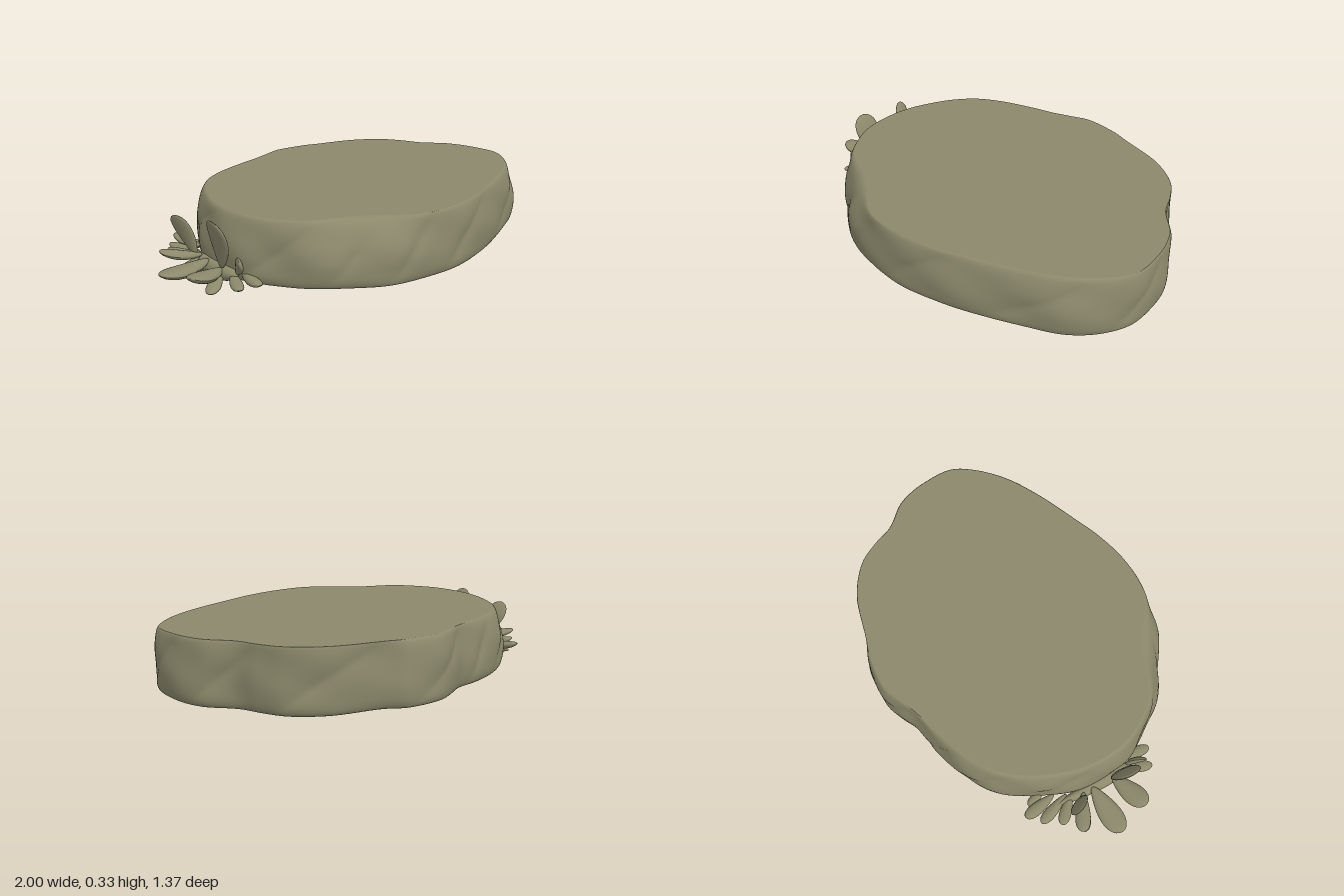
import * as THREE from 'three';

const stone = new THREE.MeshStandardMaterial({ color: 0x8b886b });
stone.name = 'mossy stone';

// Widest outline of the slab: x, z and how far the top rim is drawn in there
const OUTLINE = [
  [1.0, 0.05, 0.03], [0.99, 0.22, 0.03], [0.92, 0.35, 0.05], [0.8, 0.46, 0.06],
  [0.62, 0.54, 0.05], [0.4, 0.62, 0.05], [0.25, 0.66, 0.04], [0.05, 0.69, 0.04],
  [-0.15, 0.67, 0.04], [-0.33, 0.62, 0.11], [-0.47, 0.52, 0.11], [-0.6, 0.4, 0.06],
  [-0.68, 0.28, 0.05], [-0.74, 0.15, 0.055], [-0.755, 0, 0.06], [-0.73, -0.15, 0.06],
  [-0.68, -0.27, 0.06], [-0.6, -0.4, 0.06], [-0.5, -0.5, 0.06], [-0.37, -0.57, 0.06],
  [-0.2, -0.615, 0.05], [-0.06, -0.63, 0.03], [0.03, -0.67, 0.04], [0.13, -0.7, 0.04],
  [0.31, -0.68, 0.04], [0.4, -0.625, 0.015], [0.62, -0.55, 0.015], [0.76, -0.44, 0.015],
  [0.82, -0.33, 0.015], [0.86, -0.23, 0.02], [0.95, -0.12, 0.025], [0.985, -0.04, 0.03],
];
// Side profile: height, share of the top inset, share of the bottom inset
const PROFILE = [
  [0.04, 0, 1], [0.046, 0, 0.65], [0.065, 0, 0.3], [0.1, 0, 0.08], [0.15, 0, 0],
  [0.2, 0.08, 0], [0.25, 0.28, 0], [0.29, 0.5, 0], [0.315, 0.7, 0], [0.327, 0.88, 0], [0.33, 1, 0],
];
const AROUND = 256, ROWS = 28, BOTTOM_INSET = 0.03;

// Shallow slanting dents in the sides, fading out at both rims
function dent(a, y) {
  const fade = Math.sin(Math.PI * THREE.MathUtils.clamp((y - 0.04) / 0.29, 0, 1));
  const fold = Math.abs(Math.sin(6 * a + 9 * y + 0.8 * Math.sin(3 * a)));
  const lump = Math.sin(11 * a - 16 * y + 1.5 * Math.sin(2 * a));
  return fade * (0.011 * (1 - fold) ** 2 + 0.005 * (1 + lump));
}

function buildRings() {
  const outline = new THREE.CatmullRomCurve3(
    OUTLINE.map(([x, z, inset]) => new THREE.Vector3(x, inset, z)), true);
  const profile = new THREE.CatmullRomCurve3(PROFILE.map((p) => new THREE.Vector3(...p)));
  const rings = [];
  for (let j = 0; j <= ROWS; j++) {
    const row = profile.getPoint(j / ROWS), ring = [];
    for (let i = 0; i < AROUND; i++) {
      const u = i / AROUND, p = outline.getPoint(u), t = outline.getTangent(u);
      const out = new THREE.Vector2(t.z, -t.x).normalize();
      const inset = row.y * p.y + row.z * BOTTOM_INSET + dent(Math.atan2(p.z, p.x), row.x);
      ring.push([p.x - out.x * inset, row.x, p.z - out.y * inset]);
    }
    rings.push(ring);
  }
  return rings;
}

function meshFrom(name, points, index) {
  const g = new THREE.BufferGeometry();
  g.setAttribute('position', new THREE.Float32BufferAttribute(points.flat(), 3));
  g.setIndex(index);
  g.computeVertexNormals();
  const mesh = new THREE.Mesh(g, stone);
  mesh.name = name;
  return mesh;
}

function sideWall(rings) {
  const index = [];
  for (let j = 0; j < ROWS; j++) {
    for (let i = 0; i < AROUND; i++) {
      const k = (i + 1) % AROUND;
      const a = j * AROUND + i, b = j * AROUND + k, c = a + AROUND, d = b + AROUND;
      index.push(a, c, b, b, c, d);
    }
  }
  return meshFrom('slabSide', rings.flat(), index);
}

function cap(name, ring, up) {
  const index = [];
  for (let i = 0; i < AROUND; i++) {
    const k = (i + 1) % AROUND;
    index.push(AROUND, up ? k : i, up ? i : k);
  }
  return meshFrom(name, [...ring, [0.1, ring[0][1], 0]], index);
}

// Plump leaf from base to tip, narrow at the base, its flat face turned to "facing"
function leaf(name, base, tip, width, thick, facing) {
  const a = new THREE.Vector3(...base), b = new THREE.Vector3(...tip);
  const dir = b.clone().sub(a), length = dir.length();
  dir.normalize();
  const side = dir.clone().cross(new THREE.Vector3(...facing)).normalize();
  const normal = side.clone().cross(dir);
  const g = new THREE.SphereGeometry(1, 20, 14), p = g.attributes.position;
  for (let i = 0; i < p.count; i++) {
    const y = p.getY(i), taper = 0.75 + 0.3 * y;
    p.setXYZ(i, p.getX(i) * taper * width / 2, y * length / 2,
      p.getZ(i) * thick / 2 - 0.06 * length * (1 - y * y));
  }
  g.applyMatrix4(new THREE.Matrix4().makeBasis(side, dir, normal));
  g.translate(...a.add(b).multiplyScalar(0.5).toArray());
  g.computeVertexNormals();
  const mesh = new THREE.Mesh(g, stone);
  mesh.name = name;
  return mesh;
}

export function createModel() {
  const model = new THREE.Group();
  model.name = 'stoneSlabWithPlant';

  // Stone slab
  const slab = new THREE.Group();
  slab.name = 'slab';
  const rings = buildRings();
  slab.add(sideWall(rings), cap('slabTop', rings[ROWS], true), cap('slabBottom', rings[0], false));
  model.add(slab);

  // Small succulent growing from the side
  const plant = new THREE.Group();
  plant.name = 'plant';
  const up = [0, 1, 0], outward = [-1, 0.3, 0];
  const leaves = [
    // upright
    [[-0.77, 0.09, 0.04], [-0.83, 0.32, 0.07], 0.17, 0.035, outward],
    [[-0.77, 0.09, -0.15], [-0.83, 0.28, -0.22], 0.13, 0.03, outward],
    [[-0.75, 0.08, 0.12], [-0.79, 0.17, 0.19], 0.08, 0.03, outward],
    // spreading outward
    [[-0.75, 0.09, -0.08], [-1.0, 0.085, -0.08], 0.14, 0.05, up],
    [[-0.76, 0.08, 0.03], [-0.96, 0.11, 0.085], 0.13, 0.05, up],
    [[-0.75, 0.1, -0.13], [-0.9, 0.125, -0.24], 0.09, 0.04, up],
    // drooping
    [[-0.76, 0.09, -0.14], [-0.9, 0.003, -0.215], 0.08, 0.035, up],
    [[-0.76, 0.08, 0.02], [-0.88, 0.02, 0.1], 0.08, 0.035, up],
    // along the slab, both ways
    [[-0.74, 0.08, 0.07], [-0.82, 0.06, 0.23], 0.07, 0.035, up],
    [[-0.71, 0.08, 0.1], [-0.74, 0.07, 0.265], 0.07, 0.04, up],
    [[-0.72, 0.08, -0.18], [-0.82, 0.1, -0.3], 0.07, 0.035, up],
    [[-0.71, 0.08, -0.2], [-0.76, 0.09, -0.375], 0.07, 0.04, up],
    [[-0.68, 0.09, -0.25], [-0.7, 0.11, -0.425], 0.075, 0.04, up],
    [[-0.63, 0.08, -0.28], [-0.66, 0.07, -0.38], 0.06, 0.04, up],
  ];
  leaves.forEach((args, i) => plant.add(leaf(`leaf${i + 1}`, ...args)));
  // Knotted stem holding the leaves
  plant.add(leaf('stem', [-0.73, 0.08, -0.27], [-0.76, 0.08, 0.14], 0.09, 0.08, up));
  model.add(plant);

  return model;
}
